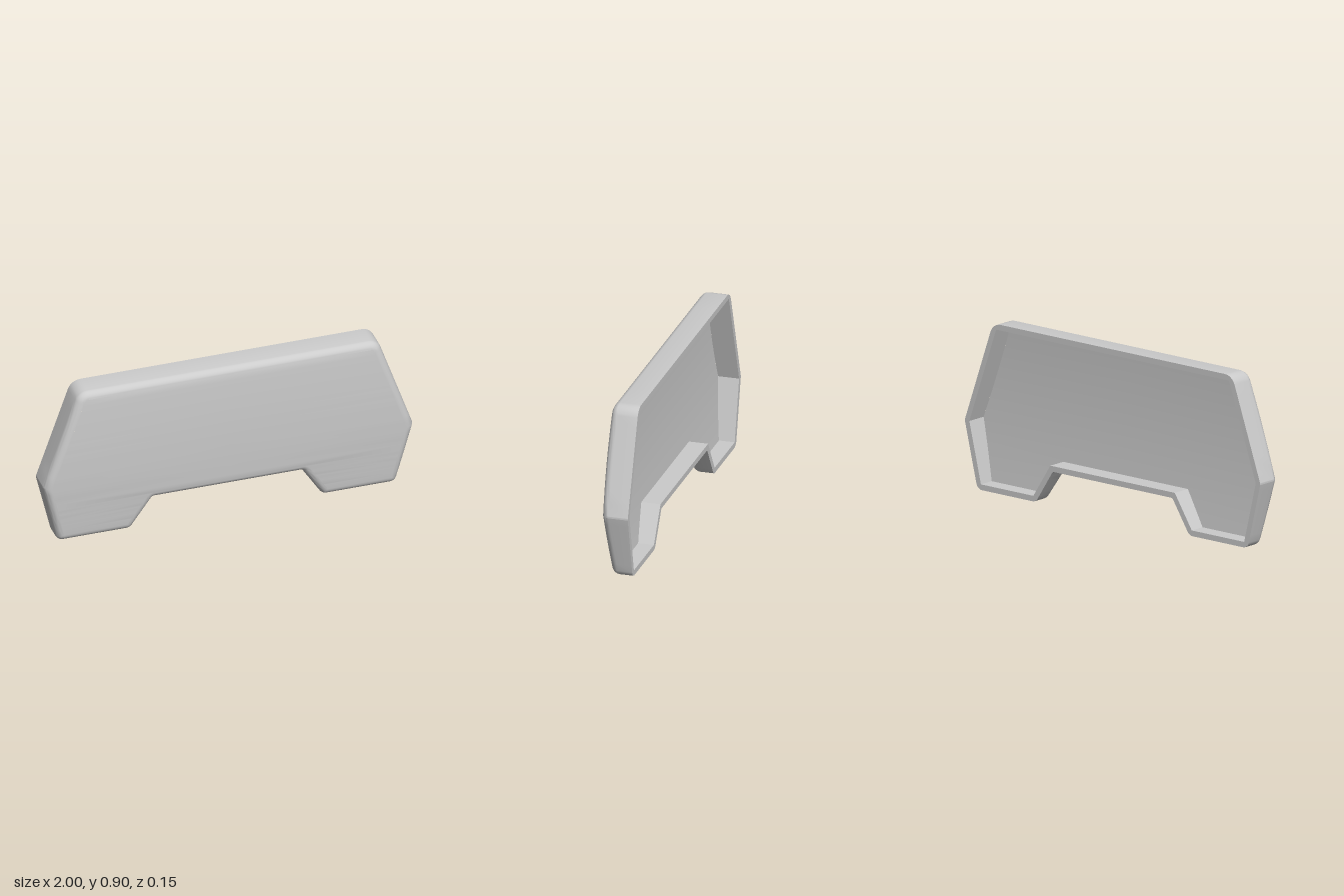
import * as THREE from 'three';
import { toCreasedNormals } from 'three/addons/utils/BufferGeometryUtils.js';

const BACK = -0.075, FILLET = 0.04, WALL = 0.03;
const ARC = 6, EDGE = 8;

// Right half of the outline: x, y, corner radius (negative = inside corner)
const half = [[0.405, 0.18, -0.02], [0.52, 0, 0.04], [0.915, 0, 0.04], [1.001, 0.355, 0.02], [0.81, 0.9, 0.07]];
const corners = [...half, ...half.map(([x, y, r]) => [-x, y, r]).reverse()];

// The front bulges gently along its height
const frontZ = (y) => 0.076 - 0.094 * (y - 0.65) ** 2;

// Counter-clockwise outline, moved inwards by d, with rounded or sharp corners
function outline(d, sharp = false) {
  const n = corners.length;
  const normals = corners.map(([x, y], i) => {
    const [u, v] = corners[(i + 1) % n];
    return new THREE.Vector2(v - y, x - u).normalize();
  });
  const arcs = corners.map(([x, y, R], i) => {
    const n0 = normals[(i + n - 1) % n], n1 = normals[i];
    const r = sharp ? 0 : R > 0 ? Math.max(R - d, 0.001) : R - d;
    const c = new THREE.Vector2(x, y).addScaledVector(n0.clone().add(n1), -(d + r) / (1 + n0.dot(n1)));
    const sweep = Math.atan2(n0.cross(n1), n0.dot(n1));
    return Array.from({ length: ARC + 1 }, (_, k) =>
      n0.clone().rotateAround(new THREE.Vector2(), sweep * k / ARC).multiplyScalar(r).add(c));
  });
  return arcs.flatMap((arc, i) => {
    const a = arc[ARC], b = arcs[(i + 1) % n][0];
    const edge = Array.from({ length: EDGE - 1 }, (_, k) => a.clone().lerp(b, (k + 1) / EDGE));
    return [...arc, ...edge];
  });
}

// Lift a flat outline to a ring in space
const ring = (pts, zOf) => pts.map((p) => new THREE.Vector3(p.x, p.y, zOf(p.y)));

function addTriangle(out, a, b, c) {
  const area = b.clone().sub(a).cross(c.clone().sub(a)).length();
  if (area > 1e-10) for (const p of [a, b, c]) out.push(p.x, p.y, p.z);
}

function stitch(out, rings) {
  for (let k = 0; k + 1 < rings.length; k++) {
    const A = rings[k], B = rings[k + 1];
    for (let i = 0; i < A.length; i++) {
      const j = (i + 1) % A.length;
      addTriangle(out, A[i], A[j], B[j]);
      addTriangle(out, A[i], B[j], B[i]);
    }
  }
}

// Keep the part of a polygon where sign * (axis - limit) >= 0
function clip(pts, axis, limit, sign) {
  const res = [];
  pts.forEach((p, i) => {
    const q = pts[(i + 1) % pts.length];
    const a = sign * (p[axis] - limit), b = sign * (q[axis] - limit);
    if (a >= 0) res.push(p);
    if (a * b < 0) res.push(p.clone().lerp(q, a / (a - b)));
  });
  return res.filter((p, i) => p.distanceTo(res[(i + 1) % res.length]) > 1e-6);
}

// Curved sheet filling an outline, cut in thin bands and mirrored across x
function addSheet(out, pts, zOf, flip) {
  const right = clip(pts, 'x', 0, 1);
  const ys = right.map((p) => p.y);
  const low = Math.min(...ys), step = (Math.max(...ys) - low) / 24;
  for (let k = 0; k < 24; k++) {
    const band = clip(clip(right, 'y', low + k * step, 1), 'y', low + (k + 1) * step, -1);
    if (band.length < 3) continue;
    for (const face of THREE.ShapeUtils.triangulateShape(band, [])) {
      let [a, b, c] = face.map((i) => band[i]);
      const turn = b.clone().sub(a).cross(c.clone().sub(a));
      if ((turn < 0) !== flip) [b, c] = [c, b];
      const [p, q, r] = ring([a, b, c], zOf);
      addTriangle(out, p, q, r);
      const mirror = new THREE.Vector3(-1, 1, 1);
      addTriangle(out, p.clone().multiply(mirror), r.clone().multiply(mirror), q.clone().multiply(mirror));
    }
  }
}

function makeMesh(name, positions, crease) {
  const g = new THREE.BufferGeometry();
  g.setAttribute('position', new THREE.Float32BufferAttribute(positions, 3));
  const mesh = new THREE.Mesh(toCreasedNormals(g, crease), new THREE.MeshStandardMaterial({ color: 0xcccccc }));
  mesh.name = name;
  return mesh;
}

export function createModel() {
  const group = new THREE.Group();
  group.name = 'coverPanel';

  // Outside: straight wall, rounded front edge, bulged front
  const outer = [], rings = [ring(outline(0), () => BACK)];
  const steps = 8;
  for (let k = 0; k <= steps; k++) {
    const t = (k / steps) * Math.PI / 2;
    rings.push(ring(outline(FILLET * (1 - Math.cos(t))), (y) => frontZ(y) - FILLET * (1 - Math.sin(t))));
  }
  stitch(outer, rings);
  addSheet(outer, outline(FILLET), frontZ, false);
  group.add(makeMesh('outerShell', outer, 0.6));

  // Inside: hollow with sharp corners, open at the back
  const inner = [], cavity = outline(WALL, true);
  const floorZ = (y) => frontZ(y) - WALL;
  stitch(inner, [ring(cavity, floorZ), ring(cavity, () => BACK)]);
  addSheet(inner, cavity, floorZ, true);
  group.add(makeMesh('innerCavity', inner, 0.3));

  // Flat rim joining the two at the back
  const rim = [];
  stitch(rim, [ring(cavity, () => BACK), ring(outline(0), () => BACK)]);
  group.add(makeMesh('backRim', rim, 0.3));

  return group;
}
